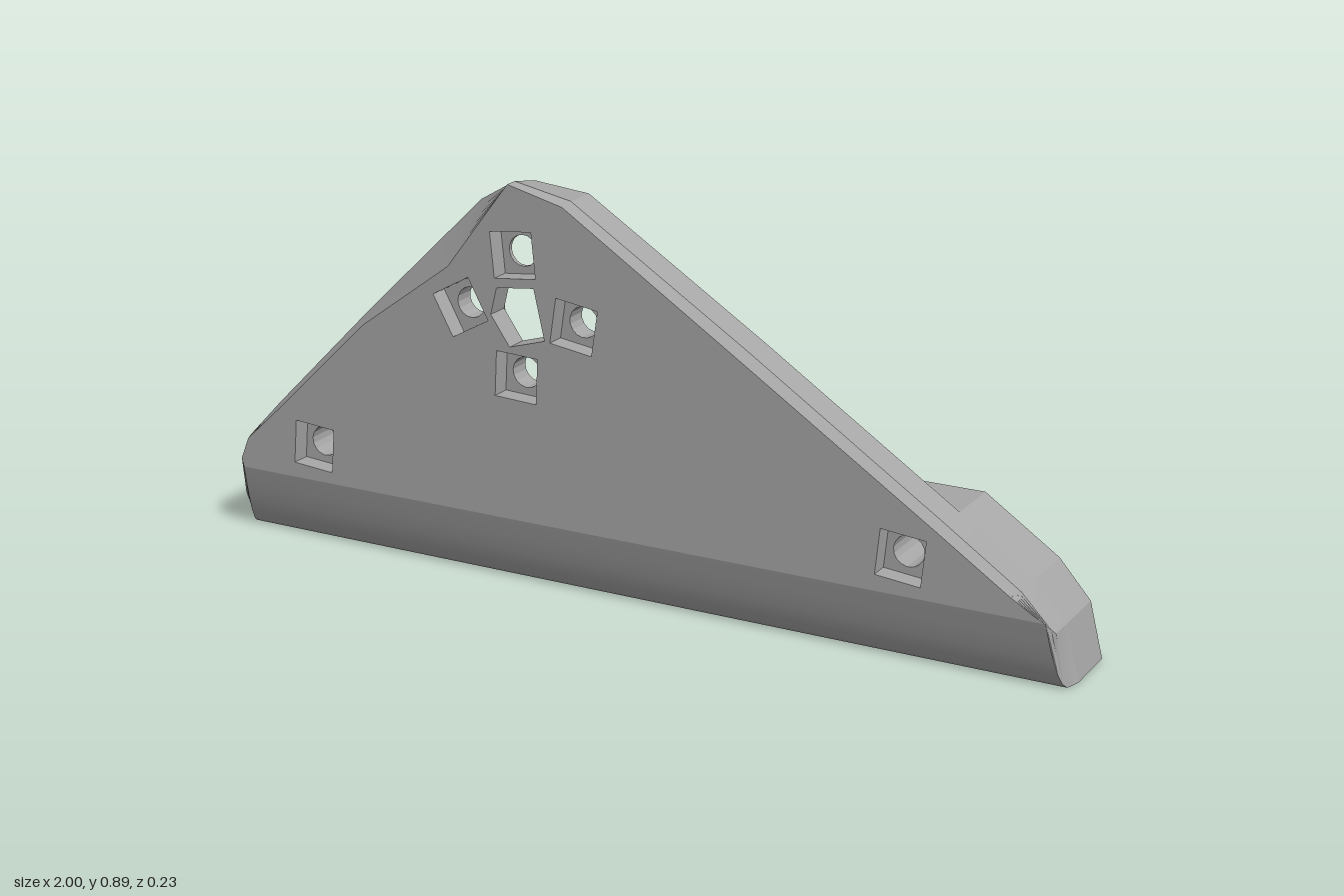
import * as THREE from 'three';
import { toCreasedNormals } from 'three/addons/utils/BufferGeometryUtils.js';

const BACK = -0.115, STEP = 0.02, FLOOR = 0.06, POCKET = 0.07, FRONT = 0.114;
const at = (pts, z) => pts.map(([x, y]) => [x, y, z]);

// Joins closed rings of equal length; clockwise rings (from the front) face outward
function loft(rings, crease = 0) {
  const pos = [];
  for (let k = 0; k < rings.length - 1; k++) {
    const n = rings[k].length;
    for (let i = 0; i < n; i++) {
      const j = (i + 1) % n;
      const a = rings[k][i], b = rings[k][j], c = rings[k + 1][j], d = rings[k + 1][i];
      pos.push(...a, ...d, ...c, ...a, ...c, ...b);
    }
  }
  const g = new THREE.BufferGeometry();
  g.setAttribute('position', new THREE.Float32BufferAttribute(pos, 3));
  g.computeVertexNormals();
  return crease ? toCreasedNormals(g, crease) : g;
}

// Flat face with openings, looking forward or backward
function face(outline, holes, z, backward) {
  const v = (pts) => pts.map(([x, y]) => new THREE.Vector2(x, y));
  const shape = new THREE.Shape(v(outline));
  holes.forEach((h) => shape.holes.push(new THREE.Path(v(h))));
  const g = new THREE.ShapeGeometry(shape);
  if (backward) g.index.array.reverse();
  g.computeVertexNormals();
  return g.translate(0, 0, z);
}

// Square pocket outline and round bore outline sampled at the same angles
function ring(x, y, size, phi, square) {
  return Array.from({ length: 16 }, (_, i) => {
    const t = (i / 16) * Math.PI * 2;
    const r = square ? size / Math.max(Math.abs(Math.cos(t)), Math.abs(Math.sin(t))) : size;
    return [x + r * Math.cos(t + phi), y + r * Math.sin(t + phi)];
  });
}

export function createModel() {
  const group = new THREE.Group();
  const grey = new THREE.MeshStandardMaterial({ color: 0xa6a6a6, side: THREE.DoubleSide });
  grey.name = 'plainGrey';
  const add = (name, geometry) => {
    const m = new THREE.Mesh(geometry, grey);
    m.name = name;
    group.add(m);
  };

  // Triangular outline, clockwise from the lower right-hand corner of the model
  const outline = [
    [-0.97, 0], [-1, 0.06], [-0.95, 0.22], [-0.863, 0.312], [-0.62, 0.56], [-0.37, 0.82],
    [-0.24, 0.875], [-0.11, 0.862], [0.3, 0.6], [0.735, 0.312], [0.9, 0.2], [0.97, 0.12], [1, 0],
  ];
  // Edge where the chamfer begins
  const shoulder = [
    [-0.97, 0, 0.055], [-1, 0.06, 0.05], [-0.95, 0.22, 0.09], [-0.863, 0.312, 0.09],
    [-0.62, 0.56, 0.08], [-0.37, 0.82, 0.022], [-0.24, 0.89, 0.1], [-0.11, 0.862, 0.095],
    [0.3, 0.6, 0.095], [0.735, 0.312, 0.095], [0.9, 0.2, 0.095], [0.97, 0.12, 0.08], [0.99, 0, 0.055],
  ];
  const frontEdge = [
    [-0.955, 0.15], [-0.96, 0.17], [-0.94, 0.22], [-0.85, 0.305], [-0.62, 0.53], [-0.4, 0.69],
    [-0.25, 0.885], [-0.12, 0.852], [0.3, 0.578], [0.72, 0.302], [0.88, 0.195], [0.93, 0.165], [0.96, 0.15],
  ];

  // Plate rim with chamfered sides and a rolled lower front edge
  const rings = [at(outline, STEP), shoulder];
  const last = outline.length - 1, steps = 5;
  const front3 = at(frontEdge, FRONT);
  for (let s = 1; s <= steps; s++) {
    const t = s / steps;
    rings.push(shoulder.map((p, i) => {
      const q = p.map((c, k) => c + (front3[i][k] - c) * t);
      if (i === 0 || i === last) q[1] = 0.15 * Math.pow(t, 1.7);
      return q;
    }));
  }
  add('plateRim', loft(rings, 0.35));

  // Thick base bar behind the lower plate, including its top ledge
  const bar = outline.filter(([, y]) => y < 0.32);
  add('baseBar', loft([at(bar, BACK), at(bar, STEP)]));

  // Bores with square front pockets: x, y, back depth, turn
  const bores = [
    [-0.76, 0.23, BACK, -0.08], [0.65, 0.23, BACK, -0.1],
    [-0.37, 0.605, STEP, 0.5], [-0.095, 0.6, STEP, -0.15],
    [-0.235, 0.47, STEP, -0.05], [-0.24, 0.735, FLOOR, 0.1],
  ].map(([x, y, z, phi]) => ({
    z, square: ring(x, y, 0.05, phi, true), circle: ring(x, y, 0.034, phi, false),
  }));
  bores.forEach(({ z, square, circle }) => add('screwBore',
    loft([at(circle, z), at(circle, POCKET), at(square, POCKET), at(square, FRONT)])));
  const circlesAt = (z) => bores.filter((b) => b.z === z).map((b) => b.circle);

  // Central opening and the recess behind it
  const opening = [[-0.295, 0.6], [-0.25, 0.535], [-0.165, 0.56], [-0.19, 0.67], [-0.28, 0.66]];
  const recess = [[-0.31, 0.52], [-0.15, 0.52], [-0.17, 0.85], [-0.34, 0.8]];
  add('centralOpening', loft([at(opening, FLOOR), at(opening, FRONT)]));
  add('recessWalls', loft([at(recess, STEP), at(recess, FLOOR)]));
  add('recessFloor', face(recess, [opening, ...circlesAt(FLOOR)], FLOOR, true));

  // V-shaped groove along the back of the bar
  const mouth = [[-0.965, 0.045], [0.835, 0.045], [0.77, 0.15], [-0.9, 0.15]];
  const p = [-0.86, 0.075, -0.005], q = [0.73, 0.075, -0.005];
  add('backGroove', loft([at(mouth, BACK), [p, q, q, p]]));

  // Flat faces
  add('frontFace', face(frontEdge, [opening, ...bores.map((b) => b.square)], FRONT, false));
  add('plateBack', face(outline.filter(([, y]) => y > 0.3), [recess, ...circlesAt(STEP)], STEP, true));
  add('barBack', face(bar, [mouth, ...circlesAt(BACK)], BACK, true));

  return group;
}
